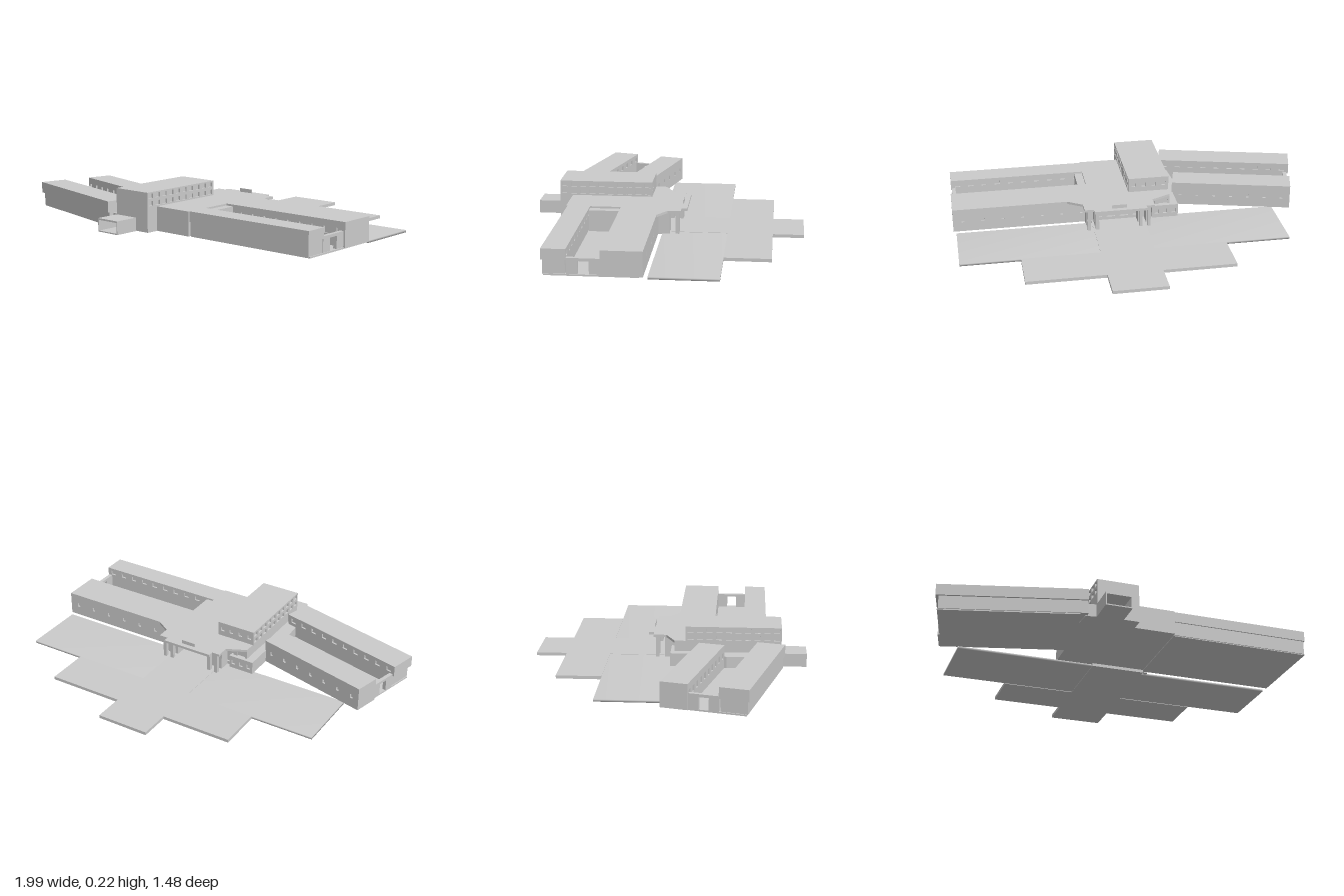
import * as THREE from 'three';
import { mergeVertices } from 'three/addons/utils/BufferGeometryUtils.js';

const material = new THREE.MeshStandardMaterial({ color: 0xcccccc, side: THREE.DoubleSide });
const BASE = 0.016, ROOF = 0.145, T = 0.01;

function add(parent, name, geometry) {
  const mesh = new THREE.Mesh(geometry, material);
  mesh.name = name;
  parent.add(mesh);
  return mesh;
}

// Box given by its limits
function block(parent, name, x0, x1, y0, y1, z0, z1) {
  const mesh = add(parent, name, new THREE.BoxGeometry(x1 - x0, y1 - y0, z1 - z0));
  mesh.position.set((x0 + x1) / 2, (y0 + y1) / 2, (z0 + z1) / 2);
  return mesh;
}

// Plan outline [x, z] raised from y0 to y1
function slab(parent, name, outline, y0, y1) {
  const shape = new THREE.Shape(outline.map(([x, z]) => new THREE.Vector2(x, -z)));
  const geometry = new THREE.ExtrudeGeometry(shape, { depth: y1 - y0, bevelEnabled: false });
  geometry.rotateX(-Math.PI / 2);
  geometry.translate(0, y0, 0);
  return add(parent, name, geometry);
}

// Wall panel with a grid of window openings; outward side is left of a -> b seen from below
function facade(parent, name, [ax, az], [bx, bz], y0, y1, { cols, rows = 1, w, h, sill = 0.5 }) {
  const length = Math.hypot(bx - ax, bz - az), height = y1 - y0;
  const shape = new THREE.Shape();
  shape.moveTo(0, 0).lineTo(length, 0).lineTo(length, height).lineTo(0, height).closePath();
  for (let i = 0; i < cols; i++) {
    for (let j = 0; j < rows; j++) {
      const x = length * (i + 0.5) / cols - w / 2;
      const y = height * (rows === 1 ? sill : (j + 0.5) / rows) - h / 2;
      const hole = new THREE.Path();
      hole.moveTo(x, y).lineTo(x, y + h).lineTo(x + w, y + h).lineTo(x + w, y).closePath();
      shape.holes.push(hole);
    }
  }
  const geometry = new THREE.ExtrudeGeometry(shape, { depth: T, bevelEnabled: false });
  geometry.translate(0, 0, -T);
  const mesh = add(parent, name, geometry);
  mesh.position.set(ax, y0, az);
  mesh.rotation.y = Math.atan2(az - bz, bx - ax);
}

// Building volume whose listed sides carry windowed walls
function hall(parent, name, x0, x1, y0, y1, z0, z1, sides) {
  const group = new THREE.Group();
  group.name = name;
  parent.add(group);
  block(group, name + 'Core',
    x0 + (sides.right ? T : 0), x1 - (sides.left ? T : 0), y0, y1,
    z0 + (sides.back ? T : 0), z1 - (sides.front ? T : 0));
  const ends = {
    front: [[x0, z1], [x1, z1]], back: [[x1, z0], [x0, z0]],
    left: [[x1, z1], [x1, z0]], right: [[x0, z0], [x0, z1]],
  };
  for (const side in sides) facade(group, side + 'Wall', ...ends[side], y0, y1, sides[side]);
}

// Low wall closing a courtyard, with a gateway
function courtyardGate(parent, x, z0, z1) {
  const third = (z1 - z0) / 3;
  block(parent, 'gateWall', x, x + 0.02, BASE, 0.1, z0, z0 + third);
  block(parent, 'gateWall', x, x + 0.02, BASE, 0.1, z1 - third, z1);
  block(parent, 'gateLintel', x, x + 0.02, 0.085, 0.1, z0 + third, z1 - third);
}

// Lawn slab with soft shading over its edges
function lawn(parent, x0, x1, z0, z1) {
  const mesh = block(parent, 'lawn', x0, x1, 0.003, 0.015, z0, z1);
  mesh.geometry.deleteAttribute('normal');
  mesh.geometry.deleteAttribute('uv');
  mesh.geometry = mergeVertices(mesh.geometry);
  mesh.geometry.computeVertexNormals();
}

export function createModel() {
  const model = new THREE.Group();
  model.name = 'schoolBuilding';
  const slot = { cols: 10, w: 0.03, h: 0.035, sill: 0.6 };
  const small = { cols: 7, w: 0.016, h: 0.022, sill: 0.5 };

  // Grounds
  slab(model, 'plaza', [[-0.05, -0.74], [0.24, -0.74], [0.24, -0.575], [0.66, -0.575], [0.66, -0.335],
    [0.24, -0.335], [0.24, 0.05], [-0.05, 0.05], [-0.05, -0.335], [-0.44, -0.335], [-0.44, -0.575],
    [-0.05, -0.575]], 0, 0.017);
  lawn(model, -0.79, -0.05, -0.335, 0.035);
  lawn(model, 0.24, 0.98, -0.335, 0.01);

  // Central hall, entrance roof and columns
  const centre = new THREE.Group();
  centre.name = 'centralHall';
  model.add(centre);
  hall(centre, 'hall', -0.2, 0.24, BASE, 0.132, 0.03, 0.53, { back: { cols: 6, w: 0.05, h: 0.08 } });
  slab(centre, 'hallRoof', [[-0.05, -0.12], [0.24, -0.12], [0.24, -0.09], [0.29, -0.09], [0.29, -0.02],
    [0.37, 0.03], [0.24, 0.03], [0.24, 0.53], [-0.2, 0.53], [-0.2, 0.03], [-0.095, -0.02],
    [-0.095, -0.09], [-0.05, -0.09]], 0.132, ROOF);
  for (const x of [-0.075, -0.03, 0.21, 0.255]) {
    block(centre, 'entranceColumn', x, x + 0.018, 0.01, 0.132, -0.08, -0.06);
    block(centre, 'entrancePier', x, x + 0.018, 0.01, 0.132, -0.03, 0.03);
  }
  block(centre, 'roofPanel', 0.06, 0.14, ROOF, 0.165, -0.094, -0.09);

  // Upper block above the hall with its front base
  hall(model, 'upperBlock', -0.205, 0.02, ROOF, 0.225, 0.09, 0.6, {
    left: { cols: 10, rows: 2, w: 0.032, h: 0.024 },
    right: { cols: 10, rows: 2, w: 0.032, h: 0.024 },
    back: { cols: 4, w: 0.022, h: 0.022 },
  });
  block(model, 'upperBlockBase', -0.205, 0.02, BASE, ROOF, 0.5, 0.6);

  // Open front porch
  const porch = new THREE.Group();
  porch.name = 'porch';
  model.add(porch);
  block(porch, 'porchRoof', -0.205, -0.065, 0.076, 0.085, 0.6, 0.735);
  block(porch, 'porchFloor', -0.205, -0.065, 0.014, 0.02, 0.6, 0.735);
  for (const x of [-0.205, -0.071]) block(porch, 'porchWall', x, x + 0.006, 0.014, 0.085, 0.6, 0.735);

  // Straight wing around a courtyard
  const east = new THREE.Group();
  east.name = 'straightWing';
  model.add(east);
  block(east, 'courtyardFloor', 0.24, 0.99, 0.012, 0.02, 0.05, 0.51);
  hall(east, 'rearRange', 0.24, 0.995, BASE, ROOF, 0.03, 0.235, { back: small, front: slot });
  block(east, 'frontRangeLower', 0.24, 0.985, BASE, 0.09, 0.405, 0.515);
  hall(east, 'frontRangeUpper', 0.24, 0.99, 0.09, ROOF, 0.4, 0.522, { back: { ...slot, h: 0.025, sill: 0.5 } });
  block(east, 'courtyardLink', 0.24, 0.285, BASE, 0.135, 0.235, 0.4);
  courtyardGate(east, 0.965, 0.235, 0.4);

  // Angled wing around a courtyard
  const west = new THREE.Group();
  west.name = 'angledWing';
  west.position.set(-0.885, 0, 0);
  west.rotation.y = -0.247;
  model.add(west);
  block(west, 'courtyardFloor', 0.01, 0.72, 0.014, 0.022, 0.02, 0.43);
  hall(west, 'rearRange', 0, 0.665, BASE, 0.148, 0, 0.14, { back: small, front: slot });
  block(west, 'frontRangeLower', 0.015, 0.76, 0.02, 0.09, 0.3, 0.435);
  hall(west, 'frontRangeUpper', 0, 0.763, 0.09, 0.15, 0.295, 0.445, { back: { ...slot, h: 0.025, sill: 0.5 } });
  courtyardGate(west, 0.01, 0.14, 0.295);

  // Low links between the hall and the angled wing
  hall(model, 'rearLink', -0.245, -0.1, BASE, 0.088, 0.01, 0.165, { back: { cols: 3, w: 0.022, h: 0.025 } });
  slab(model, 'wingLink', [[-0.24, 0.16], [-0.2, 0.16], [-0.2, 0.59], [-0.26, 0.58], [-0.28, 0.31]], BASE, 0.085);

  return model;
}
